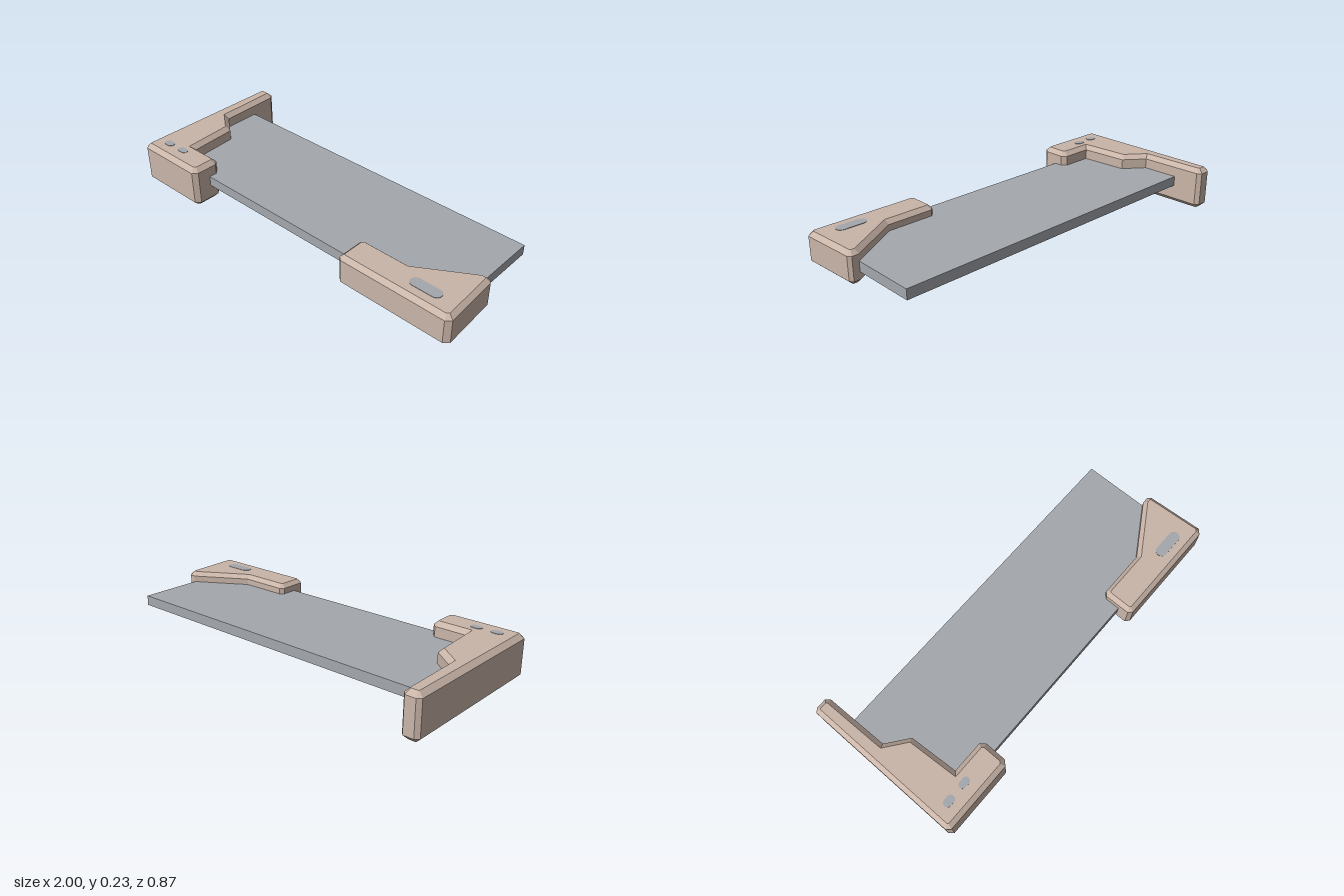
import * as THREE from 'three';

const clay = new THREE.MeshStandardMaterial({ color: 0xcab5a8 });
clay.name = 'clay beige';
const slate = new THREE.MeshStandardMaterial({ color: 0xa4a8ad });
slate.name = 'slate grey';

// Plan outline as [x, z] points, extruded upwards with chamfered top and bottom rims
function bevelledPrism(name, outline, bottom, top, bevel) {
  const shape = new THREE.Shape(outline.map(([x, z]) => new THREE.Vector2(x, z)));
  const geometry = new THREE.ExtrudeGeometry(shape, {
    depth: top - bottom - 2 * bevel,
    bevelThickness: bevel,
    bevelSize: bevel,
    bevelOffset: -bevel,
    bevelSegments: 1,
  });
  geometry.rotateX(Math.PI / 2).translate(0, top - bevel, 0);
  const mesh = new THREE.Mesh(geometry, clay);
  mesh.name = name;
  return mesh;
}

// Thin rounded inlay, centred on x, z
function inlay(name, x, y, z, width, depth) {
  const r = depth / 2, h = width / 2 - r;
  const shape = new THREE.Shape();
  shape.absarc(h, 0, r, -Math.PI / 2, Math.PI / 2);
  shape.absarc(-h, 0, r, Math.PI / 2, Math.PI * 1.5);
  const geometry = new THREE.ExtrudeGeometry(shape, { depth: 0.004, bevelEnabled: false, curveSegments: 6 });
  geometry.rotateX(Math.PI / 2).translate(x, y + 0.002, z);
  const mesh = new THREE.Mesh(geometry, slate);
  mesh.name = name;
  return mesh;
}

export function createModel() {
  const group = new THREE.Group();
  group.name = 'slabWithBrackets';

  // Flat slab, dropping slightly towards +x
  const slab = new THREE.Mesh(new THREE.BoxGeometry(1.885, 0.054, 0.615), slate);
  slab.name = 'slab';
  slab.position.set(-0.007, 0.123, 0.032);
  slab.rotation.z = -0.003;
  group.add(slab);

  // Tall corner bracket with a long rear arm and a short foot
  group.add(bevelledPrism('cornerBracket', [
    [-1, -0.42], [-0.98, -0.437], [-0.925, -0.437], [-0.908, -0.415],
    [-0.9, -0.075], [-0.79, 0.01], [-0.772, 0.27], [-0.605, 0.27],
    [-0.582, 0.295], [-0.582, 0.41], [-0.605, 0.435], [-0.98, 0.435], [-1, 0.415],
  ], 0, 0.23, 0.024));

  // Lower wedge bracket on the other front corner
  group.add(bevelledPrism('wedgeBracket', [
    [0.385, 0.26], [0.405, 0.24], [0.66, 0.24], [0.935, 0.073], [0.97, 0.073],
    [0.985, 0.09], [1, 0.39], [0.975, 0.413], [0.405, 0.413], [0.385, 0.395],
  ], 0.034, 0.203, 0.022));

  // Grey inlays
  group.add(inlay('cornerInlayOuter', -0.895, 0.23, 0.345, 0.062, 0.042));
  group.add(inlay('cornerInlayInner', -0.788, 0.23, 0.342, 0.062, 0.038));
  group.add(inlay('wedgeInlayTop', 0.812, 0.203, 0.322, 0.165, 0.058));
  group.add(inlay('wedgeInlayBottom', 0.812, 0.034, 0.322, 0.165, 0.058));

  return group;
}
